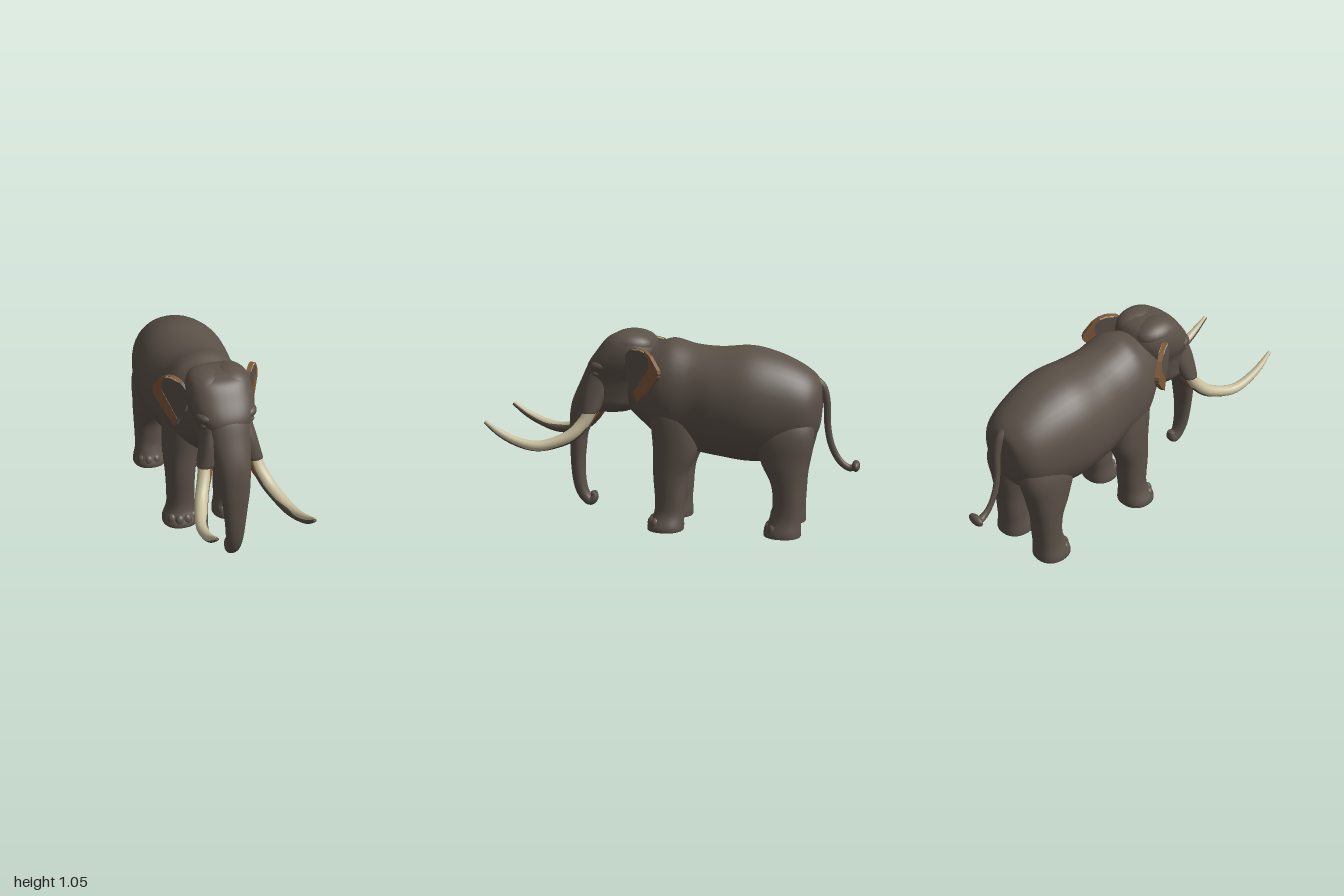
import * as THREE from 'three';

const material = (name, color) => {
  const m = new THREE.MeshStandardMaterial({ color });
  m.name = name;
  return m;
};

// Smooth closed loft through rows of [x, y, z, halfWidth, halfDepth].
// With an axis the rings stay parallel, otherwise they follow the path.
function loft(rows, { axis = null, steps = 40, sides = 28, power = 0.9 } = {}) {
  const path = new THREE.CatmullRomCurve3(rows.map(r => new THREE.Vector3(r[0], r[1], r[2])), false, 'catmullrom');
  const size = new THREE.CatmullRomCurve3(rows.map(r => new THREE.Vector3(r[3], r[4], 0)), false, 'catmullrom');
  const X = new THREE.Vector3(1, 0, 0);
  const pos = [], index = [];
  const soft = v => Math.sign(v) * Math.abs(v) ** power;
  for (let i = 0; i <= steps; i++) {
    const t = i / steps;
    const c = path.getPoint(t), r = size.getPoint(t);
    const T = axis || path.getTangent(t);
    const B = new THREE.Vector3().crossVectors(T, X).normalize();
    const A = new THREE.Vector3().crossVectors(B, T).normalize();
    for (let j = 0; j < sides; j++) {
      const a = (j / sides) * Math.PI * 2;
      const p = c.clone().addScaledVector(A, r.x * soft(Math.cos(a))).addScaledVector(B, r.y * soft(Math.sin(a)));
      pos.push(p.x, p.y, p.z);
    }
  }
  const first = pos.length / 3, last = first + 1, end = steps * sides;
  pos.push(...path.getPoint(0).toArray(), ...path.getPoint(1).toArray());
  for (let j = 0; j < sides; j++) {
    const k = (j + 1) % sides;
    for (let i = 0; i < steps; i++) {
      const a = i * sides + j, b = i * sides + k;
      index.push(a, b, a + sides, b, b + sides, a + sides);
    }
    index.push(first, k, j, last, end + j, end + k);
  }
  const g = new THREE.BufferGeometry();
  g.setAttribute('position', new THREE.Float32BufferAttribute(pos, 3));
  g.setIndex(index);
  g.computeVertexNormals();
  return g;
}

const ellipsoid = (x, y, z, rx, ry, rz) =>
  new THREE.SphereGeometry(1, 24, 16).scale(rx, ry, rz).translate(x, y, z);

// Mirror a geometry across x = 0, keeping its faces outward.
function mirrored(geometry) {
  const g = geometry.clone().scale(-1, 1, 1);
  const n = g.attributes.position.count;
  const idx = g.index ? Array.from(g.index.array) : Array.from({ length: n }, (_, i) => i);
  for (let i = 0; i < idx.length; i += 3) [idx[i], idx[i + 1]] = [idx[i + 1], idx[i]];
  g.setIndex(idx);
  return g;
}

// Flat plate in the ear plane, from [fraction outward, height] points.
function earPlate(points, thickness, smooth) {
  const pts = points.map(([t, y]) => new THREE.Vector2(t * 0.238, y));
  const shape = new THREE.Shape();
  shape.moveTo(pts[0].x, pts[0].y);
  if (smooth) shape.splineThru(pts.slice(1));
  else pts.slice(1).forEach(p => shape.lineTo(p.x, p.y));
  const g = new THREE.ExtrudeGeometry(shape, { depth: thickness, bevelEnabled: false, curveSegments: 24 });
  return g.translate(0, 0, -thickness / 2).rotateY(Math.atan2(0.21, 0.126)).translate(0.158, 0, 0.235);
}

export function createModel() {
  const group = new THREE.Group();
  const skin = material('skin', 0x5b5148);
  const ivory = material('ivory', 0xc8be9c);
  const tan = material('tan', 0x80593a);
  const add = (name, geometry, mat) => {
    const mesh = new THREE.Mesh(geometry, mat);
    mesh.name = name;
    group.add(mesh);
  };
  const pair = (name, geometry, mat) => {
    add(name + 'Left', geometry, mat);
    add(name + 'Right', mirrored(geometry), mat);
  };
  const down = new THREE.Vector3(0, -1, 0), forward = new THREE.Vector3(0, 0, 1);

  // Body, rump to neck: z, top, bottom, half width
  const body = [
    [-0.792, 0.78, 0.66, 0.045], [-0.775, 0.825, 0.55, 0.13], [-0.71, 0.885, 0.45, 0.198],
    [-0.58, 0.95, 0.39, 0.24], [-0.42, 0.99, 0.37, 0.266], [-0.25, 0.98, 0.39, 0.256],
    [-0.12, 0.99, 0.41, 0.232], [0, 1.02, 0.43, 0.228], [0.08, 1.0, 0.48, 0.21],
    [0.16, 0.98, 0.55, 0.165], [0.24, 0.96, 0.62, 0.12],
  ].map(([z, top, bottom, w]) => [0, (top + bottom) / 2, z, w, (top - bottom) / 2]);
  add('body', loft(body, { axis: forward, steps: 60, sides: 40, power: 0.96 }), skin);

  // Head, crown to chin: y, back z, front z, half width
  const head = [
    [1.046, 0.18, 0.29, 0.1], [1.02, 0.12, 0.36, 0.147], [0.95, 0.085, 0.42, 0.17],
    [0.87, 0.10, 0.474, 0.165], [0.80, 0.13, 0.485, 0.141], [0.72, 0.17, 0.50, 0.13],
    [0.66, 0.20, 0.51, 0.122], [0.62, 0.25, 0.49, 0.09],
  ].map(([y, back, front, w]) => [0, y, (back + front) / 2, w, (front - back) / 2]);
  add('head', loft(head, { axis: down, sides: 36, power: 0.82 }), skin);
  pair('crownLobe', ellipsoid(0.066, 0.985, 0.235, 0.095, 0.071, 0.13), skin);
  add('jaw', ellipsoid(0, 0.67, 0.31, 0.1, 0.06, 0.12), skin);
  pair('brow', ellipsoid(0.105, 0.872, 0.375, 0.055, 0.035, 0.065), skin);
  pair('eyelid', ellipsoid(0.122, 0.832, 0.4, 0.02, 0.015, 0.026), skin);

  // Trunk with a curled tip
  add('trunk', loft([
    [0, 0.95, 0.31, 0.06, 0.04], [0, 0.86, 0.38, 0.112, 0.082], [0, 0.74, 0.43, 0.11, 0.095],
    [0, 0.62, 0.5, 0.09, 0.078], [0, 0.5, 0.535, 0.078, 0.052], [0, 0.4, 0.542, 0.066, 0.043],
    [0, 0.3, 0.545, 0.055, 0.038], [0, 0.2, 0.537, 0.046, 0.035], [0, 0.135, 0.517, 0.038, 0.032],
    [0, 0.095, 0.482, 0.033, 0.028], [0, 0.112, 0.457, 0.03, 0.023], [0, 0.145, 0.458, 0.022, 0.017],
  ], { steps: 66 }), skin);

  // Tusk sockets and tusks, with a tan root and a dark inner underside
  pair('tuskSocket', loft([
    [0.085, 0.84, 0.385, 0.04, 0.06], [0.104, 0.74, 0.415, 0.045, 0.065],
    [0.122, 0.65, 0.435, 0.048, 0.054], [0.13, 0.622, 0.442, 0.047, 0.045],
  ], { axis: down, steps: 16 }), skin);
  const tusk = [
    [0.132, 0.64, 0.43, 0.033, 0.033], [0.15, 0.565, 0.475, 0.034, 0.034], [0.182, 0.5, 0.54, 0.034, 0.033],
    [0.213, 0.463, 0.63, 0.032, 0.03], [0.236, 0.45, 0.71, 0.029, 0.028], [0.248, 0.468, 0.8, 0.025, 0.024],
    [0.253, 0.513, 0.9, 0.02, 0.019], [0.25, 0.575, 0.99, 0.009, 0.009],
  ];
  pair('tusk', loft(tusk, { sides: 20, power: 1 }), ivory);
  pair('tuskRoot', loft(tusk.slice(0, 3).map(([x, y, z, a, b], i) =>
    [x - 0.013, y, z - 0.008, a * (1 - i * i * 0.1), b * (1 - i * i * 0.1)]), { steps: 14, sides: 20, power: 1 }), tan);
  pair('tuskUnderside', loft(tusk.slice(1).map(([x, y, z, a, b], i) =>
    [x - (i < 4 ? 0.005 : 0.002), y - 0.004, z + (i < 3 ? -0.004 : 0.003), a * 0.96, b * 0.96]),
  { sides: 20, power: 1 }), skin);

  // Ears with a tan outer rim and a pale line along the top
  pair('ear', earPlate([
    [0.05, 0.82], [-0.03, 0.92], [0.15, 0.975], [0.45, 0.988], [0.75, 0.955],
    [0.97, 0.89], [0.98, 0.855], [0.66, 0.775], [0.36, 0.71], [0.24, 0.76], [0.05, 0.82],
  ], 0.02, true), skin);
  pair('earRim', earPlate([
    [0.18, 0.982], [0.32, 0.99], [0.46, 0.992], [0.62, 0.981], [0.77, 0.957], [0.99, 0.89], [1, 0.855],
    [0.68, 0.774], [0.37, 0.706], [0.27, 0.757], [0.5, 0.825], [0.73, 0.89], [0.72, 0.945],
    [0.6, 0.968], [0.45, 0.981], [0.3, 0.98],
  ], 0.024, false), tan);
  pair('earTopLine', earPlate([
    [0.2, 0.981], [0.32, 0.988], [0.46, 0.99], [0.6, 0.981], [0.6, 0.974], [0.46, 0.983], [0.32, 0.981],
  ], 0.028, false), ivory);

  // Legs: x, y, z, half width, half depth
  pair('frontLeg', loft([
    [0.1, 0.84, 0, 0.06, 0.08], [0.115, 0.65, -0.015, 0.1, 0.125], [0.127, 0.45, -0.025, 0.095, 0.12],
    [0.135, 0.3, 0, 0.081, 0.092], [0.135, 0.16, 0.002, 0.077, 0.08], [0.138, 0.09, 0.008, 0.079, 0.08],
    [0.145, 0.03, 0.022, 0.098, 0.097], [0.145, 0.003, 0.024, 0.1, 0.098],
  ], { axis: down }), skin);
  pair('hindLeg', loft([
    [0.085, 0.76, -0.59, 0.06, 0.11], [0.12, 0.57, -0.6, 0.105, 0.162], [0.133, 0.4, -0.61, 0.098, 0.125],
    [0.14, 0.28, -0.628, 0.086, 0.086], [0.14, 0.16, -0.63, 0.082, 0.077], [0.142, 0.09, -0.62, 0.083, 0.084],
    [0.145, 0.03, -0.608, 0.095, 0.098], [0.145, 0.003, -0.607, 0.097, 0.099],
  ], { axis: down }), skin);
  for (const [name, z] of [['frontToe', 0.024], ['hindToe', -0.607]]) {
    for (let i = 0; i < 4; i++) {
      const a = -0.9 + i * 0.6;
      pair(name + i, ellipsoid(0.145 + Math.sin(a) * 0.072, 0.038, z + Math.cos(a) * 0.072, 0.028, 0.036, 0.026), skin);
    }
  }

  // Tail and tuft
  add('tail', loft([
    [0, 0.83, -0.71, 0.04, 0.03], [0, 0.79, -0.785, 0.025, 0.024], [0, 0.7, -0.815, 0.017, 0.02],
    [0, 0.57, -0.823, 0.014, 0.018], [0, 0.47, -0.845, 0.013, 0.018], [0, 0.39, -0.888, 0.013, 0.018],
    [0, 0.35, -0.94, 0.02, 0.018], [0, 0.36, -0.975, 0.025, 0.016],
  ], { sides: 16, power: 1 }), skin);
  add('tailTuft', ellipsoid(0, 0.362, -0.977, 0.05, 0.03, 0.022), skin);

  return group;
}
